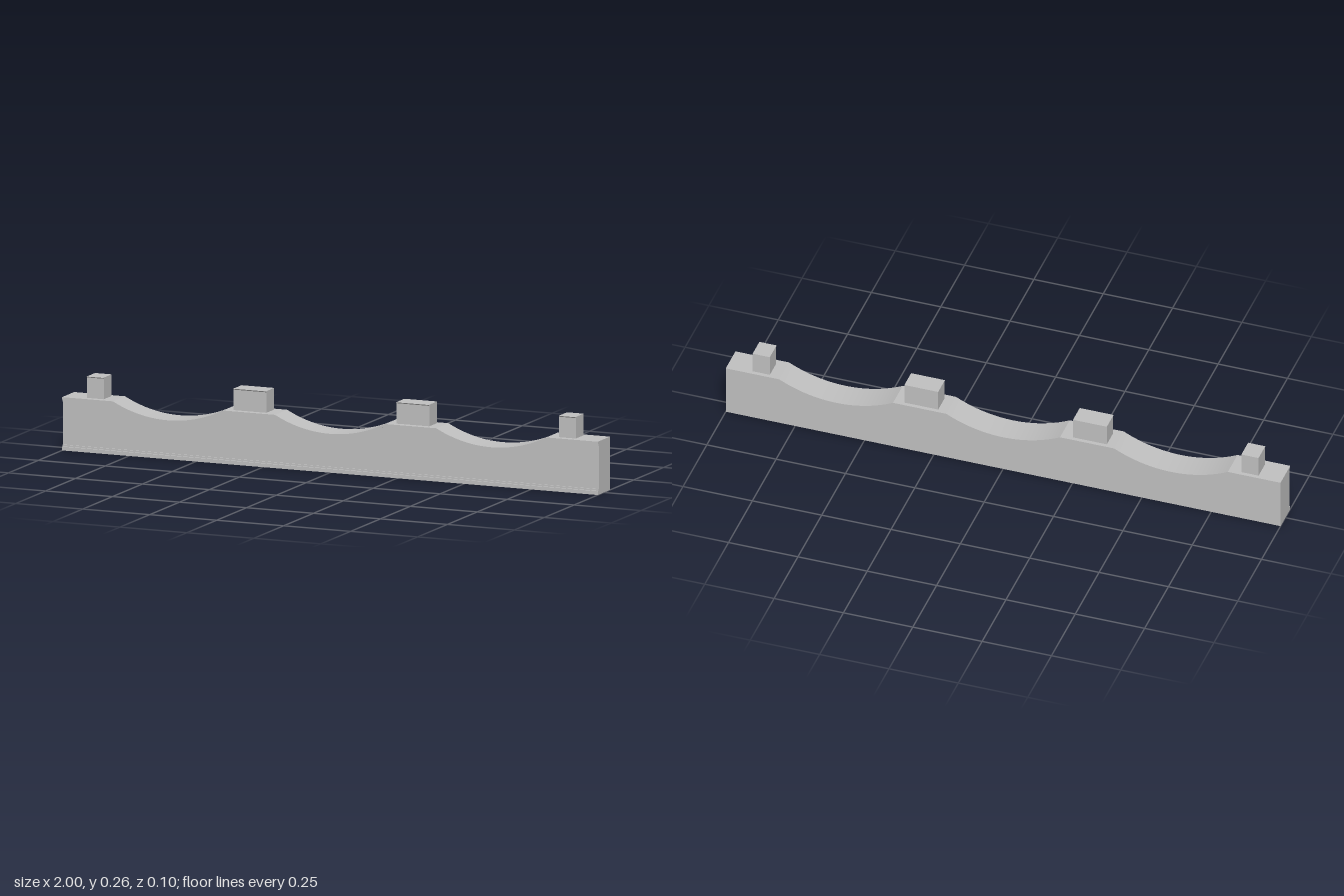
import * as THREE from 'three';
import { toCreasedNormals } from 'three/addons/utils/BufferGeometryUtils.js';

const TOP = 0.185;      // height of the flat crests
const DIP = 0.05;       // depth of each valley
const HALF = 0.205;     // half width of each valley
const VALLEYS = [-0.605, 0, 0.602];

// Scalloped top edge, left to right
function topEdge() {
  const pts = [new THREE.Vector2(-1, TOP)];
  const radius = (HALF * HALF + DIP * DIP) / (2 * DIP);
  for (const cx of VALLEYS) {
    for (let i = 0; i <= 28; i++) {
      const dx = -HALF + (2 * HALF * i) / 28;
      const y = TOP - DIP + radius - Math.sqrt(radius * radius - dx * dx);
      pts.push(new THREE.Vector2(cx + dx, y));
    }
  }
  pts.push(new THREE.Vector2(1, TOP));
  return pts;
}

// Slab under the scalloped edge, spanning z0..z1; bottom maps an edge to its lower outline
function scallopSlab(bottom, z0, z1) {
  const edge = topEdge();
  const shape = new THREE.Shape([...bottom(edge), ...edge.reverse()]);
  const geo = new THREE.ExtrudeGeometry(shape, { depth: z1 - z0, bevelEnabled: false });
  geo.translate(0, 0, z0);
  return toCreasedNormals(geo, 0.15);
}

const flatBottom = () => [new THREE.Vector2(-1, 0), new THREE.Vector2(1, 0)];
const band = (t) => (edge) => edge.map((p) => new THREE.Vector2(p.x, p.y - t));

// Post with a small lip flaring forward at its top
function postGeometry(width) {
  const shape = new THREE.Shape([
    [-0.037, TOP - 0.003], [0.029, TOP - 0.003], [0.029, 0.256],
    [0.034, 0.26], [-0.037, 0.26],
  ].map(([z, y]) => new THREE.Vector2(z, y)));
  const geo = new THREE.ExtrudeGeometry(shape, { depth: width, bevelEnabled: false });
  geo.translate(0, 0, -width / 2);
  geo.rotateY(-Math.PI / 2);
  return geo;
}

export function createModel() {
  const group = new THREE.Group();
  const stone = new THREE.MeshStandardMaterial({ color: 0xc0c0c0 });
  stone.name = 'grey stone';

  const add = (name, geo, x = 0, y = 0, z = 0) => {
    const mesh = new THREE.Mesh(geo, stone);
    mesh.name = name;
    mesh.position.set(x, y, z);
    group.add(mesh);
  };

  // Wall body and the stepped moulding along its front top edge
  add('wallBody', scallopSlab(flatBottom, -0.051, 0.041));
  add('innerTopMoulding', scallopSlab(band(0.016), 0.041, 0.045));
  add('outerTopMoulding', scallopSlab(band(0.008), 0.045, 0.051));

  // Stepped moulding along the front foot
  add('innerFootMoulding', new THREE.BoxGeometry(2, 0.019, 0.004), 0, 0.0095, 0.043);
  add('outerFootMoulding', new THREE.BoxGeometry(2, 0.013, 0.006), 0, 0.0065, 0.048);

  // Posts on the crests
  const posts = [
    ['endPostRight', -0.885, 0.062], ['middlePostRight', -0.308, 0.122],
    ['middlePostLeft', 0.3, 0.122], ['endPostLeft', 0.877, 0.062],
  ];
  for (const [name, x, width] of posts) add(name, postGeometry(width), x);

  return group;
}
